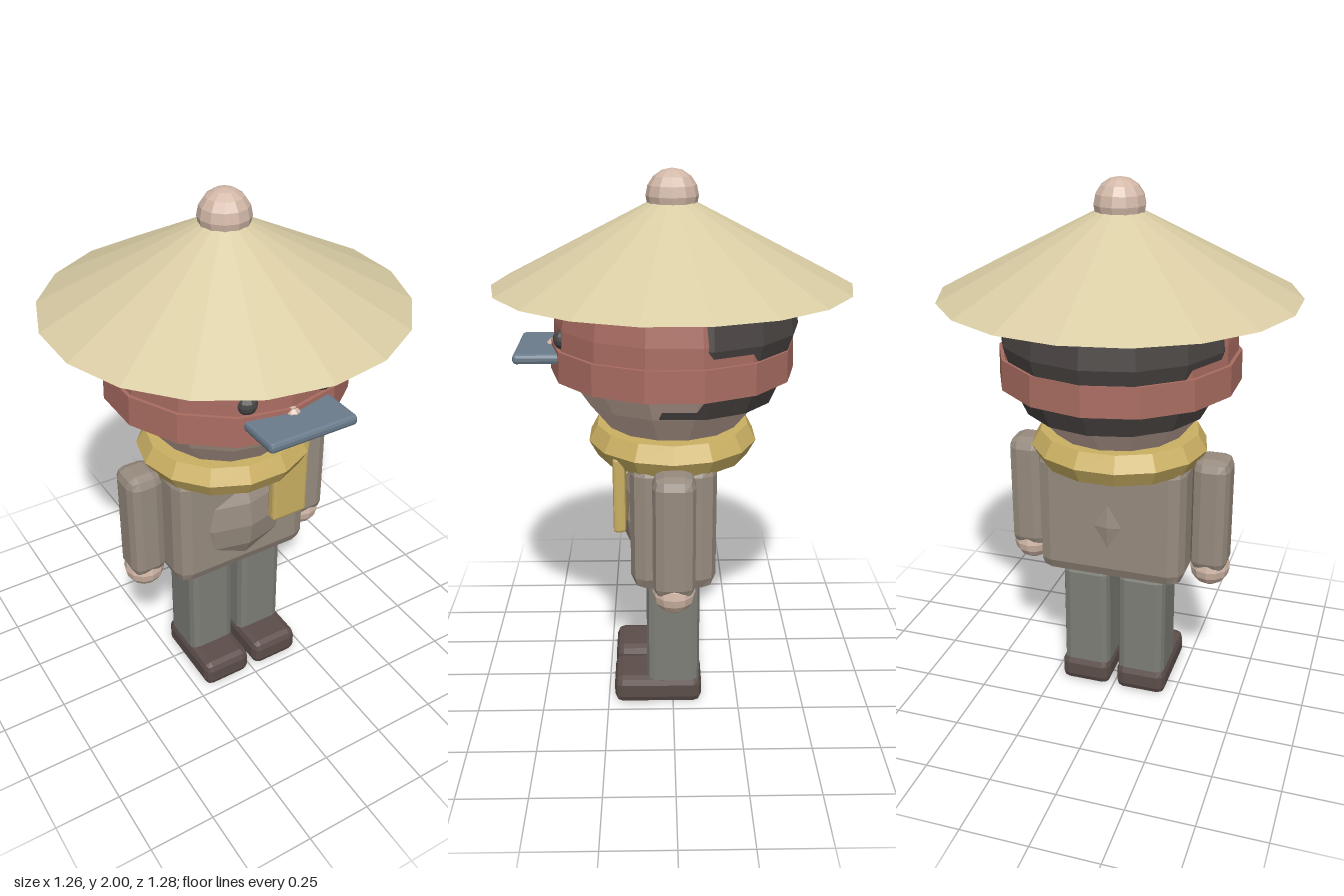
import * as THREE from 'three';
import { RoundedBoxGeometry } from 'three/addons/geometries/RoundedBoxGeometry.js';

const colours = {
  skin: 0xd2b8a8, helmetRed: 0xa96c61, hairDark: 0x4a4543, straw: 0xd9cca4, coat: 0x978b7f,
  trousers: 0x7d7e77, shoeBrown: 0x5c4e4a, scarfYellow: 0xcbb063, visorBlue: 0x6b7c8c, eyeGrey: 0x484645,
};

export function createModel() {
  const group = new THREE.Group();
  const mats = {};
  for (const [name, color] of Object.entries(colours)) {
    mats[name] = new THREE.MeshStandardMaterial({ color });
    mats[name].name = name;
  }

  // Adds a faceted part with one normal per face
  function add(name, geometry, mat, x = 0, y = 0, z = 0) {
    const flat = geometry.index ? geometry.toNonIndexed() : geometry;
    flat.computeVertexNormals();
    const mesh = new THREE.Mesh(flat, mats[mat]);
    mesh.name = name;
    mesh.position.set(x, y, z);
    group.add(mesh);
    return mesh;
  }
  const box = (w, h, d, r) => new RoundedBoxGeometry(w, h, d, 1, r);
  const lathe = (pts) => new THREE.LatheGeometry(pts.map(([r, y]) => new THREE.Vector2(r, y)), 14);
  const ball = (r, w = 12, h = 8) => new THREE.SphereGeometry(r, w, h);

  // Straw hat and its knob
  add('hat', new THREE.ConeGeometry(0.64, 0.33, 18), 'straw', 0, 1.765);
  add('hatKnob', ball(0.092), 'skin', 0, 1.908);

  // Head, helmet with its band, and hair showing through at the back
  add('head', lathe([[0, 1.03], [0.15, 1.05], [0.245, 1.1], [0.325, 1.2], [0.385, 1.29], [0.4, 1.38]]), 'skin');
  add('helmet', lathe([[0.425, 1.38], [0.422, 1.475], [0.4, 1.61], [0.32, 1.71], [0.18, 1.79], [0, 1.83]]), 'helmetRed');
  add('helmetBand', new THREE.CylinderGeometry(0.437, 0.44, 0.11, 14), 'helmetRed', 0, 1.35);
  add('hair', lathe([[0.2, 1.2], [0.335, 1.205], [0.368, 1.28], [0.39, 1.38], [0.415, 1.46], [0.397, 1.6],
    [0.28, 1.71], [0, 1.79]]), 'hairDark', 0, 0, -0.037);

  // Face
  add('visor', box(0.335, 0.036, 0.17, 0.012), 'visorBlue', 0, 1.372, 0.472);
  add('nose', ball(0.03, 8, 6), 'skin', 0, 1.378, 0.425);

  // Scarf
  const ring = new THREE.TorusGeometry(0.264, 0.068, 6, 14).rotateX(Math.PI / 2).scale(1, 1, 0.94);
  add('scarf', ring, 'scarfYellow', 0, 1.04);
  add('scarfTail', box(0.15, 0.29, 0.045, 0.012), 'scarfYellow', 0.16, 0.885, 0.193);

  // Torso with a rounded belly pushing through
  add('torso', box(0.57, 0.51, 0.31, 0.055), 'coat', 0, 0.775);
  const belly = ball(0.25, 10, 8).rotateY(Math.PI / 2).scale(1, 1, 0.74);
  add('belly', belly, 'coat', 0, 0.752, 0.017);

  // Paired parts
  for (const [side, s] of [['left', 1], ['right', -1]]) {
    add(side + 'Eye', ball(0.037), 'eyeGrey', s * 0.146, 1.44, 0.378);
    add(side + 'Arm', box(0.14, 0.455, 0.15, 0.04), 'coat', s * 0.36, 0.795);
    add(side + 'Hand', ball(0.077), 'skin', s * 0.36, 0.572);
    add(side + 'Leg', box(0.188, 0.46, 0.2, 0.03), 'trousers', s * 0.112, 0.3);
    add(side + 'Shoe', box(0.2, 0.11, 0.335, 0.03), 'shoeBrown', s * 0.114, 0.055, 0.058);
  }
  return group;
}
